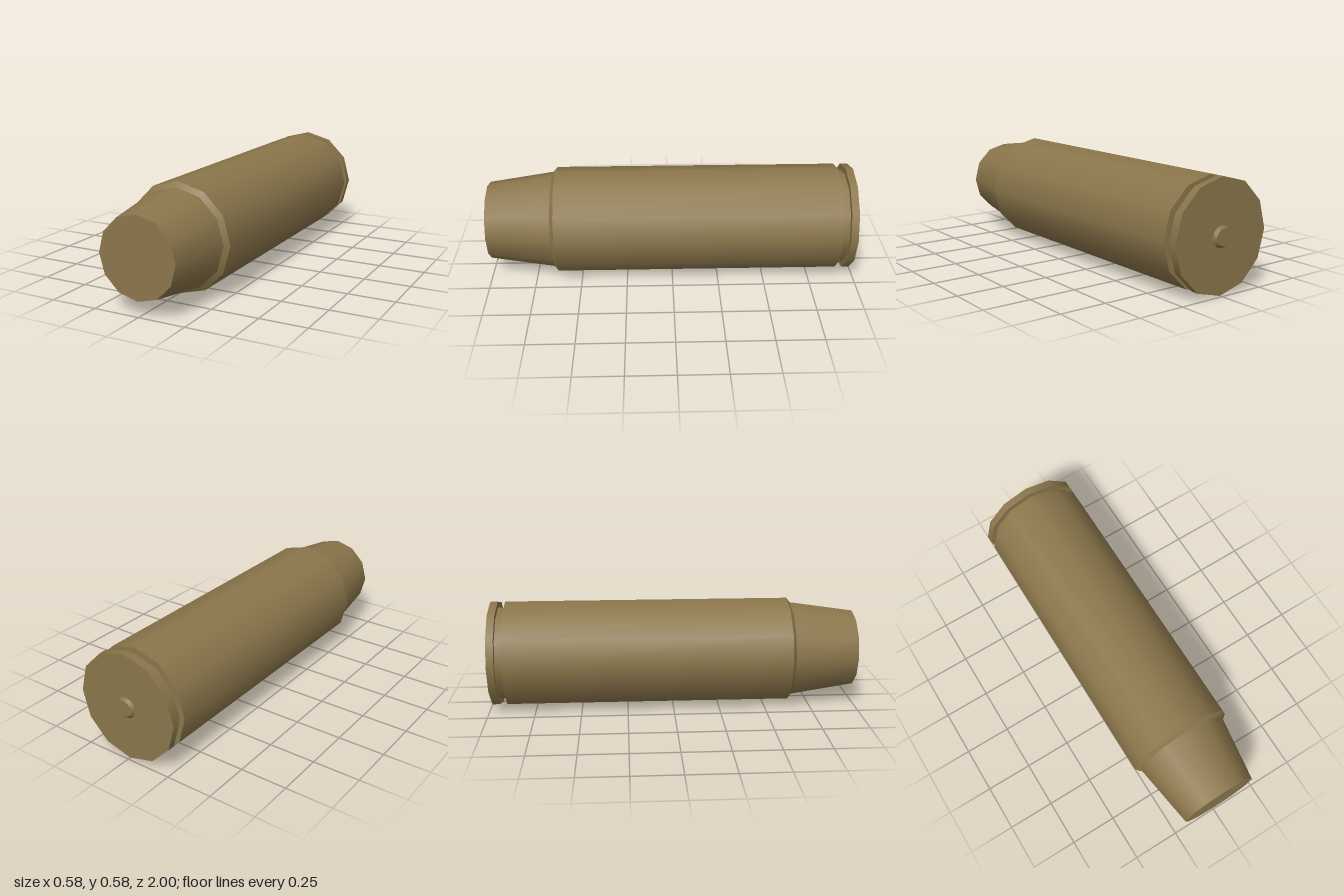
import * as THREE from 'three';

const SIDES = 12;
const RADIUS = 0.288;

export function createModel() {
  const model = new THREE.Group();
  model.name = 'cartridge';

  const brass = new THREE.MeshStandardMaterial({ color: 0x8b764b });
  brass.name = 'brass';

  // Turned part along z: profile is [radius, z] from back to front.
  // Each band is its own lathe, smooth around the axis and sharp between bands.
  function turnedPart(name, profile) {
    const part = new THREE.Group();
    part.name = name;
    for (let i = 0; i < profile.length - 1; i++) {
      const points = [profile[i], profile[i + 1]].map(([r, z]) => new THREE.Vector2(r, z));
      const geometry = new THREE.LatheGeometry(points, SIDES);
      geometry.rotateX(Math.PI / 2);
      const band = new THREE.Mesh(geometry, brass);
      band.name = `${name}Band${i + 1}`;
      part.add(band);
    }
    part.position.y = RADIUS;
    model.add(part);
  }

  // Small raised button at the back
  turnedPart('primer', [[0, -1], [0.042, -1], [0.056, -0.985]]);

  // Rim with its flat back
  turnedPart('rim', [[0.056, -0.985], [RADIUS, -0.985], [RADIUS, -0.945], [0.255, -0.945]]);

  // Recess between rim and body
  turnedPart('extractorGroove', [[0.255, -0.945], [0.255, -0.905]]);

  // Long case with a bevelled mouth
  turnedPart('case', [[0.255, -0.905], [RADIUS, -0.905], [RADIUS, 0.63], [0.262, 0.65]]);

  // Tapered, flat-nosed tip
  turnedPart('bullet', [[0.262, 0.65], [0.21, 1], [0, 1]]);

  return model;
}
